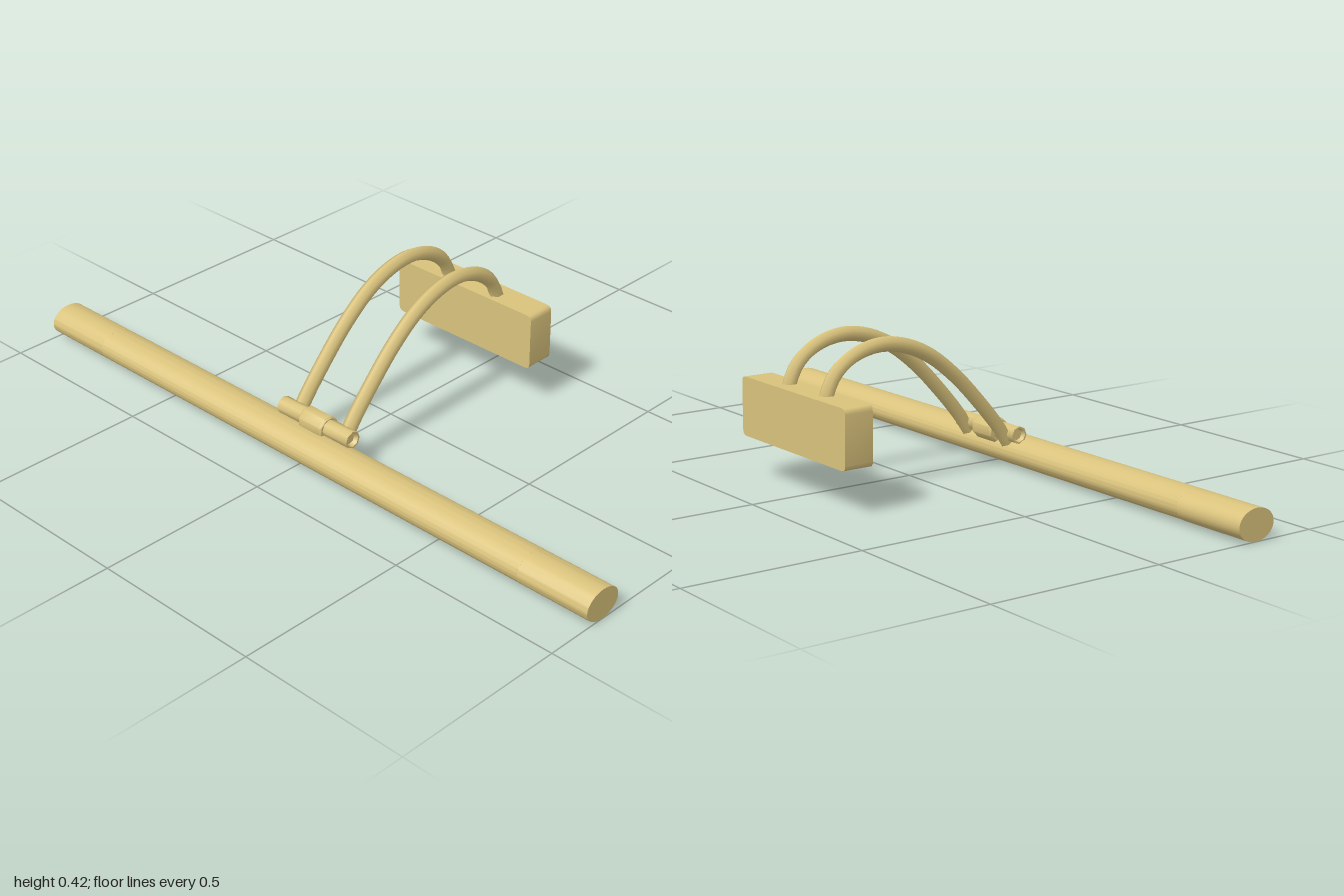
import * as THREE from 'three';
import { toCreasedNormals } from 'three/addons/utils/BufferGeometryUtils.js';

const brass = new THREE.MeshStandardMaterial({ color: 0xd9c27c });
const grey = new THREE.MeshStandardMaterial({ color: 0xcccccc });

export function createModel() {
  const model = new THREE.Group();
  const add = (name, geometry, material = brass, crease = 0.9) => {
    const mesh = new THREE.Mesh(toCreasedNormals(geometry, crease), material);
    mesh.name = name;
    model.add(mesh);
    return mesh;
  };

  // Oval lamp tube: a section between two angles, closed by a chord, extruded along x
  const RZ = 0.058, RY = 0.043;
  const ovalBar = (from, to, x0, x1, scale = 1) => {
    const pts = [];
    const n = 40;
    for (let i = 0; i <= n; i++) {
      const a = from + ((to - from) * i) / n;
      pts.push(new THREE.Vector2(RZ * scale * Math.cos(a), RY * scale * Math.sin(a)));
    }
    const g = new THREE.ExtrudeGeometry(new THREE.Shape(pts), { depth: x1 - x0, bevelEnabled: false });
    return g.rotateY(Math.PI / 2).translate(x0, 0.044, 0.317);
  };
  const cut = 0.84; // angle of the light opening below the horizontal
  const full = [0, Math.PI * 2 - 1e-4];
  add('lampTubeRightEnd', ovalBar(...full, -1, -0.78), brass, 0.6);
  add('lampTubeLeftEnd', ovalBar(...full, 0.78, 1), brass, 0.6);
  add('lampTubeMiddle', ovalBar(-cut, Math.PI + cut, -0.78, 0.78), brass, 0.6);
  add('diffuser', ovalBar(Math.PI + cut, Math.PI * 2 - cut, -0.78, 0.78, 0.975), grey, 0.6);

  // Wall mount: a block with rounded long edges
  const w = 0.245, y0 = 0.12, y1 = 0.283, r = 0.016;
  const plate = new THREE.Shape();
  plate.moveTo(-w + r, y0).lineTo(w - r, y0).quadraticCurveTo(w, y0, w, y0 + r)
    .lineTo(w, y1 - r).quadraticCurveTo(w, y1, w - r, y1)
    .lineTo(-w + r, y1).quadraticCurveTo(-w, y1, -w, y1 - r)
    .lineTo(-w, y0 + r).quadraticCurveTo(-w, y0, -w + r, y0);
  const mount = new THREE.ExtrudeGeometry(plate, { depth: 0.085, bevelEnabled: false, curveSegments: 3 });
  add('wallMount', mount.translate(0, 0, -0.375));

  // Curved arms with a six-sided section, corner upwards
  const path = new THREE.CatmullRomCurve3([
    [0.075, 0.268], [0.125, 0.233], [0.208, 0.161], [0.285, 0.085], [0.35, 0], [0.385, -0.08],
    [0.396, -0.16], [0.377, -0.24], [0.335, -0.298], [0.283, -0.325], [0.26, -0.328],
  ].map(([y, z]) => new THREE.Vector3(0, y, z)));
  const hexagon = new THREE.Shape(Array.from({ length: 6 }, (_, i) => {
    const a = ((i + 0.5) * Math.PI) / 3;
    return new THREE.Vector2(0.0205 * Math.cos(a), 0.0205 * Math.sin(a));
  }));
  const armGeometry = new THREE.ExtrudeGeometry(hexagon, { steps: 36, extrudePath: path });

  // Pivot collars with a shallow recess in the outer end
  const profile = [[0.025, 0.035], [0.025, 0.13], [0.02, 0.13], [0.016, 0.118], [0, 0.118]];
  for (const [side, s] of [['left', 1], ['right', -1]]) {
    add(side + 'Arm', armGeometry, brass, 1.2).position.x = s * 0.088;
    const collar = new THREE.LatheGeometry(profile.map(p => new THREE.Vector2(...p)), 8);
    add(side + 'PivotCollar', collar.rotateZ((-s * Math.PI) / 2)).position.set(0, 0.099, 0.277);
  }

  // Central pivot nut, slightly chamfered
  const nutProfile = [[0, -0.043], [0.031, -0.043], [0.035, -0.037], [0.035, 0.037], [0.031, 0.043], [0, 0.043]];
  const nut = new THREE.LatheGeometry(nutProfile.map(p => new THREE.Vector2(...p)), 8);
  nut.rotateY(Math.PI / 8).rotateZ(Math.PI / 2);
  add('pivotNut', nut).position.set(0, 0.096, 0.277);

  return model;
}
